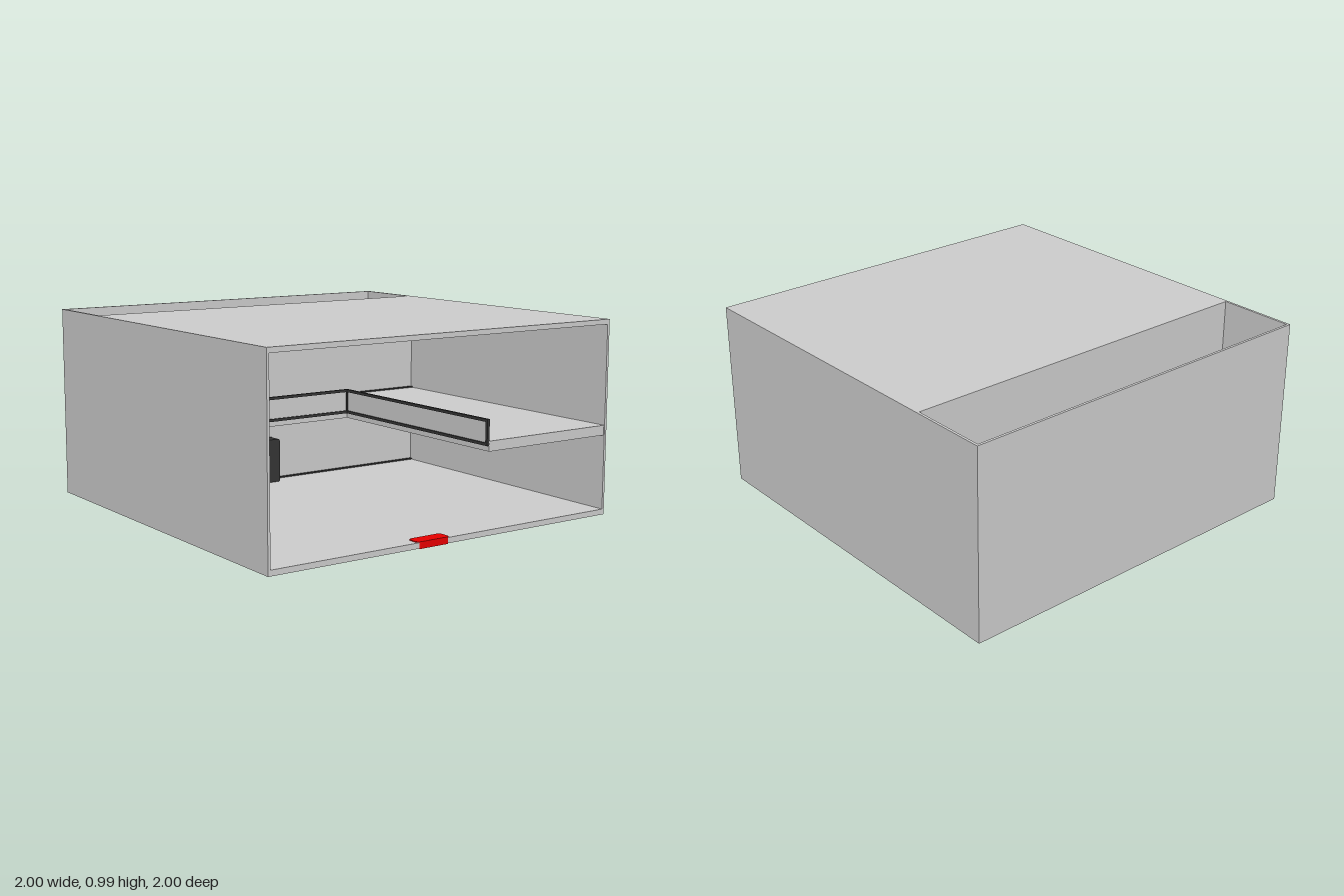
import * as THREE from 'three';

const plaster = new THREE.MeshStandardMaterial({ color: 0xcccccc });
plaster.name = 'plaster';
const darkMetal = new THREE.MeshStandardMaterial({ color: 0x343434 });
darkMetal.name = 'darkMetal';
const red = new THREE.MeshStandardMaterial({ color: 0xf00000 });
red.name = 'red';
const glass = new THREE.MeshStandardMaterial({ color: 0xcccccc });
glass.name = 'glass';

// Box given by its minimum and maximum on each axis
function block(parent, name, material, [x0, x1], [y0, y1], [z0, z1]) {
  const mesh = new THREE.Mesh(new THREE.BoxGeometry(x1 - x0, y1 - y0, z1 - z0), material);
  mesh.position.set((x0 + x1) / 2, (y0 + y1) / 2, (z0 + z1) / 2);
  mesh.name = name;
  parent.add(mesh);
  return mesh;
}

// Rectangle outline with rounded corners
function roundedRect(w, h, r) {
  const s = new THREE.Shape();
  s.absarc(w / 2 - r, h / 2 - r, r, 0, Math.PI / 2);
  s.absarc(-w / 2 + r, h / 2 - r, r, Math.PI / 2, Math.PI);
  s.absarc(-w / 2 + r, -h / 2 + r, r, Math.PI, Math.PI * 1.5);
  s.absarc(w / 2 - r, -h / 2 + r, r, Math.PI * 1.5, Math.PI * 2);
  s.closePath();
  return s;
}

const FLOOR = 0.028, CEILING = 0.96, TOP = 0.985;
const SLAB = [0.405, 0.455];
const WALL = 0.013;
const WELL = -0.59, INNER_BACK = -0.56; // wall between rooms and the open court
const WING = -0.15;                     // front edge of the rear gallery

function buildShell() {
  const g = new THREE.Group();
  g.name = 'shell';
  block(g, 'groundFloor', plaster, [-1, 1], [0, FLOOR], [-1, 1]);
  for (const s of [-1, 1]) {
    const xs = s < 0 ? [-1, -1 + WALL] : [1 - WALL, 1];
    block(g, s < 0 ? 'rightWall' : 'leftWall', plaster, xs, [FLOOR, TOP], [-1, 1]);
  }
  const inside = [-1 + WALL, 1 - WALL];
  block(g, 'courtBackWall', plaster, inside, [FLOOR, TOP], [-1, -1 + WALL]);
  block(g, 'roof', plaster, inside, [CEILING, TOP], [WELL, 1]);
  block(g, 'courtFrontWall', plaster, inside, [FLOOR, CEILING], [WELL, INNER_BACK]);

  // Window tracks along the rear wall
  const track = [INNER_BACK, INNER_BACK + 0.014];
  block(g, 'lowerTrack', darkMetal, inside, [FLOOR, 0.035], track);
  block(g, 'lowerHead', darkMetal, [-0.78, inside[1]], [0.399, 0.405], track);
  block(g, 'upperTrack', darkMetal, [-0.78, inside[1]], [0.455, 0.462], track);
  block(g, 'upperHead', darkMetal, inside, [0.953, CEILING], track);
  return g;
}

function buildMezzanine() {
  const g = new THREE.Group();
  g.name = 'mezzanine';
  block(g, 'sideGallery', plaster, [0.235, 1 - WALL], SLAB, [WING, 0.995]);
  block(g, 'rearGallery', plaster, [-0.78, 1 - WALL], SLAB, [INNER_BACK, WING]);

  // Railing along both inner edges: bars, posts and glass infill
  const y = [0.432, 0.56], t = 0.014, x1 = 0.237, x0 = -0.775;
  for (const [name, low] of [['bottomRail', y[0]], ['topRail', y[1] - t]]) {
    block(g, name, darkMetal, [x0, x1], [low, low + t], [WING, WING + t]);
    block(g, name, darkMetal, [x1 - t, x1], [low, low + t], [WING, 0.995]);
  }
  block(g, 'railPost', darkMetal, [x0, x0 + t], y, [WING, WING + t]);
  block(g, 'railPost', darkMetal, [x1 - t, x1], y, [WING, WING + t]);
  block(g, 'railPost', darkMetal, [x1 - t, x1], y, [0.981, 0.995]);

  const infill = (width) => new THREE.PlaneGeometry(width, y[1] - y[0] - 2 * t);
  const rear = new THREE.Mesh(infill(x1 - x0 - 2 * t), glass);
  rear.name = 'rearGlass';
  rear.position.set((x0 + x1) / 2, (y[0] + y[1]) / 2, WING + t / 2);
  const side = new THREE.Mesh(infill(0.98 - WING), glass);
  side.name = 'sideGlass';
  side.rotation.y = -Math.PI / 2;
  side.position.set(x1 - t / 2, (y[0] + y[1]) / 2, (0.98 + WING) / 2);
  g.add(rear, side);
  return g;
}

function buildStairs() {
  const g = new THREE.Group();
  g.name = 'staircase';
  const steps = 15, start = 0.25, tread = 0.045, rise = (0.458 - FLOOR) / steps;
  for (let i = 0; i < steps; i++) {
    const front = start - i * tread;
    // The first step runs on past the partition
    const right = i === 0 ? -0.78 : -0.81;
    block(g, 'step', darkMetal, [-1 + WALL, right], [FLOOR, FLOOR + (i + 1) * rise], [front - tread, front]);
  }
  const end = start - steps * tread;
  block(g, 'landing', plaster, [-1 + WALL, -0.78], SLAB, [INNER_BACK, end]);
  // Partition beside the flight, open to the gallery at the landing
  block(g, 'partitionLower', plaster, [-0.81, -0.78], [FLOOR, 0.405], [INNER_BACK, 0.2]);
  block(g, 'partitionUpper', plaster, [-0.81, -0.78], [0.405, CEILING], [end, 0.2]);
  return g;
}

function buildFittings() {
  const g = new THREE.Group();
  g.name = 'fittings';
  // Dark cabinet with softened corners against the rear wall
  const cabinet = new THREE.Mesh(
    new THREE.ExtrudeGeometry(roundedRect(0.215, 0.235, 0.012), { depth: 0.08, bevelEnabled: false, curveSegments: 4 }),
    darkMetal);
  cabinet.name = 'cabinet';
  cabinet.position.set(-0.095, 0.148, INNER_BACK + 0.014);
  g.add(cabinet);

  // Red mat set into the front threshold
  const mat = new THREE.Mesh(
    new THREE.ExtrudeGeometry(roundedRect(0.19, 0.075, 0.02), { depth: 0.034, bevelEnabled: false, curveSegments: 3 }),
    red);
  mat.name = 'doorMat';
  mat.rotation.x = -Math.PI / 2;
  mat.position.set(-0.095, -0.002, 0.9645);
  g.add(mat);
  return g;
}

export function createModel() {
  const model = new THREE.Group();
  model.name = 'house';
  model.add(buildShell(), buildMezzanine(), buildStairs(), buildFittings());
  return model;
}
